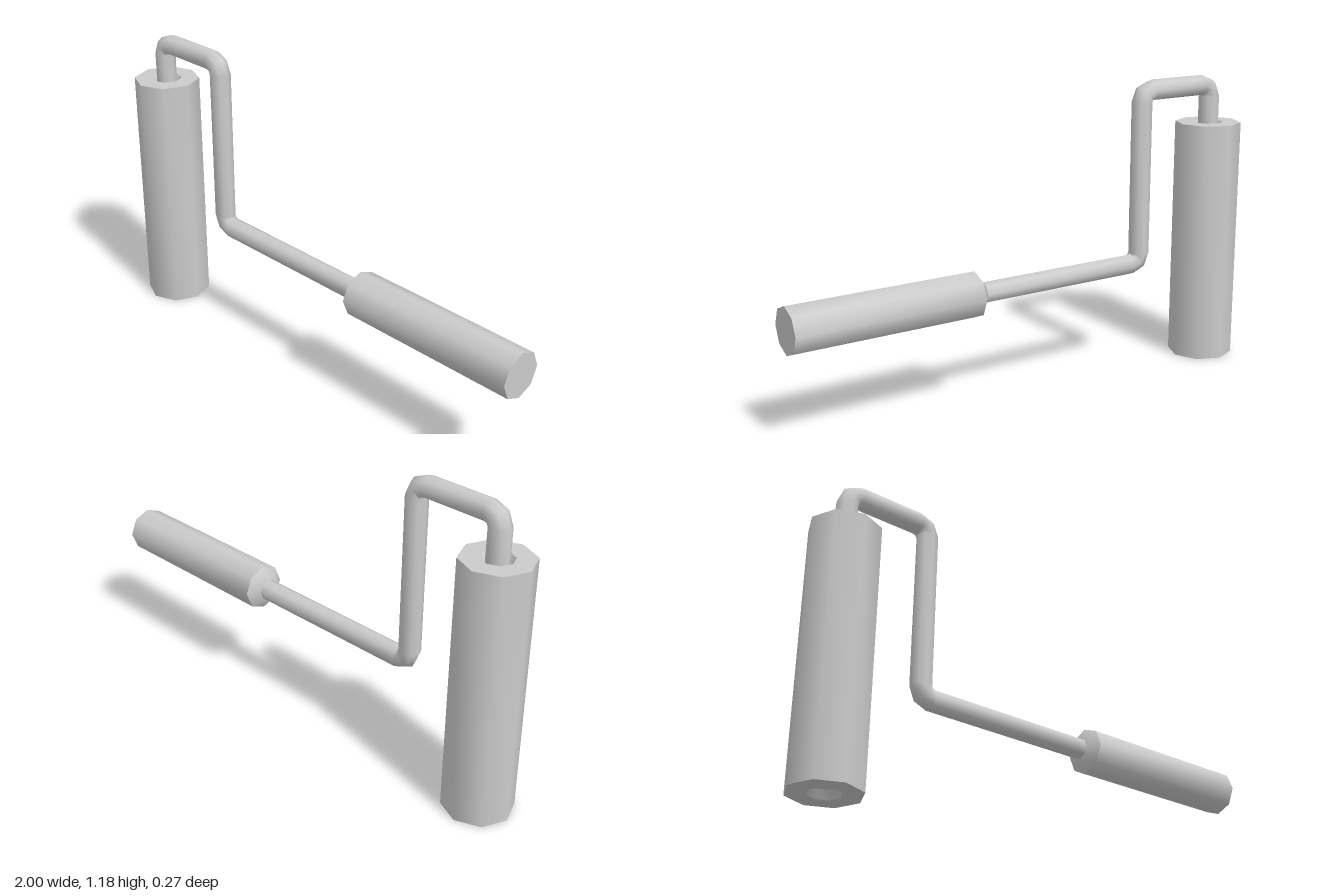
import * as THREE from 'three';
import { toCreasedNormals } from 'three/addons/utils/BufferGeometryUtils.js';

const SIDES = 8;
const ROLLER_X = -0.867, TOP_Y = 1.143, DROP_X = -0.52, HANDLE_Y = 0.443;

// Eight-sided turned part: smooth around, sharp along the profile edges
function turned(profile) {
  const points = profile.map(([r, y]) => new THREE.Vector2(r, y));
  return toCreasedNormals(new THREE.LatheGeometry(points, SIDES), 0.87);
}

// Round wire following corner points in the xy plane, each bend in two steps
function bentWire(corners, radius, bend) {
  const pts = corners.map(([x, y]) => new THREE.Vector2(x, y));
  const dir = (i) => pts[i + 1].clone().sub(pts[i]).normalize();
  const last = pts.length - 1;
  const rings = [{ c: pts[0], t: dir(0) }];
  for (let i = 1; i < last; i++) {
    const a = dir(i - 1), b = dir(i);
    const start = pts[i].clone().addScaledVector(a, -bend);
    const end = pts[i].clone().addScaledVector(b, bend);
    const t = a.clone().add(b).normalize();
    const out = a.clone().sub(b).normalize();
    const pivot = start.clone().addScaledVector(b, bend);
    rings.push({ c: start, t: a }, { c: pivot.addScaledVector(out, bend), t }, { c: end, t: b });
  }
  rings.push({ c: pts[last], t: dir(last - 1) });

  const position = [], index = [];
  rings.forEach(({ c, t }, i) => {
    for (let j = 0; j < SIDES; j++) {
      const a = (j / SIDES) * Math.PI * 2, n = radius * Math.cos(a);
      position.push(c.x - t.y * n, c.y + t.x * n, radius * Math.sin(a));
      if (i === rings.length - 1) continue;
      const p = i * SIDES + j, q = i * SIDES + ((j + 1) % SIDES);
      index.push(p, q, p + SIDES, q, q + SIDES, p + SIDES);
    }
  });
  const geometry = new THREE.BufferGeometry();
  geometry.setAttribute('position', new THREE.Float32BufferAttribute(position, 3));
  geometry.setIndex(index);
  geometry.computeVertexNormals();
  return geometry;
}

export function createModel() {
  const group = new THREE.Group();
  group.name = 'paintRoller';
  const material = new THREE.MeshStandardMaterial({ color: 0xcccccc });
  const add = (name, geometry) => {
    const mesh = new THREE.Mesh(geometry, material);
    mesh.name = name;
    group.add(mesh);
    return mesh;
  };

  // Roller sleeve with a small recess in each end
  const sleeve = add('rollerSleeve', turned([
    [0, 0.03], [0.04, 0.03], [0.06, 0], [0.133, 0],
    [0.133, 0.99], [0.06, 0.99], [0.04, 0.96], [0, 0.96],
  ]));
  sleeve.position.x = ROLLER_X;

  // Bent wire frame from the sleeve to the handle
  add('wireFrame', bentWire([
    [ROLLER_X, 0.95], [ROLLER_X, TOP_Y], [DROP_X, TOP_Y],
    [DROP_X, HANDLE_Y], [0.26, HANDLE_Y],
  ], 0.041, 0.045));

  // Grip with a tapered collar, lying along x
  const grip = add('handleGrip', turned([
    [0, 0.225], [0.052, 0.225], [0.09, 0.253], [0.09, 1], [0, 1],
  ]).rotateZ(-Math.PI / 2));
  grip.position.y = HANDLE_Y;

  return group;
}
